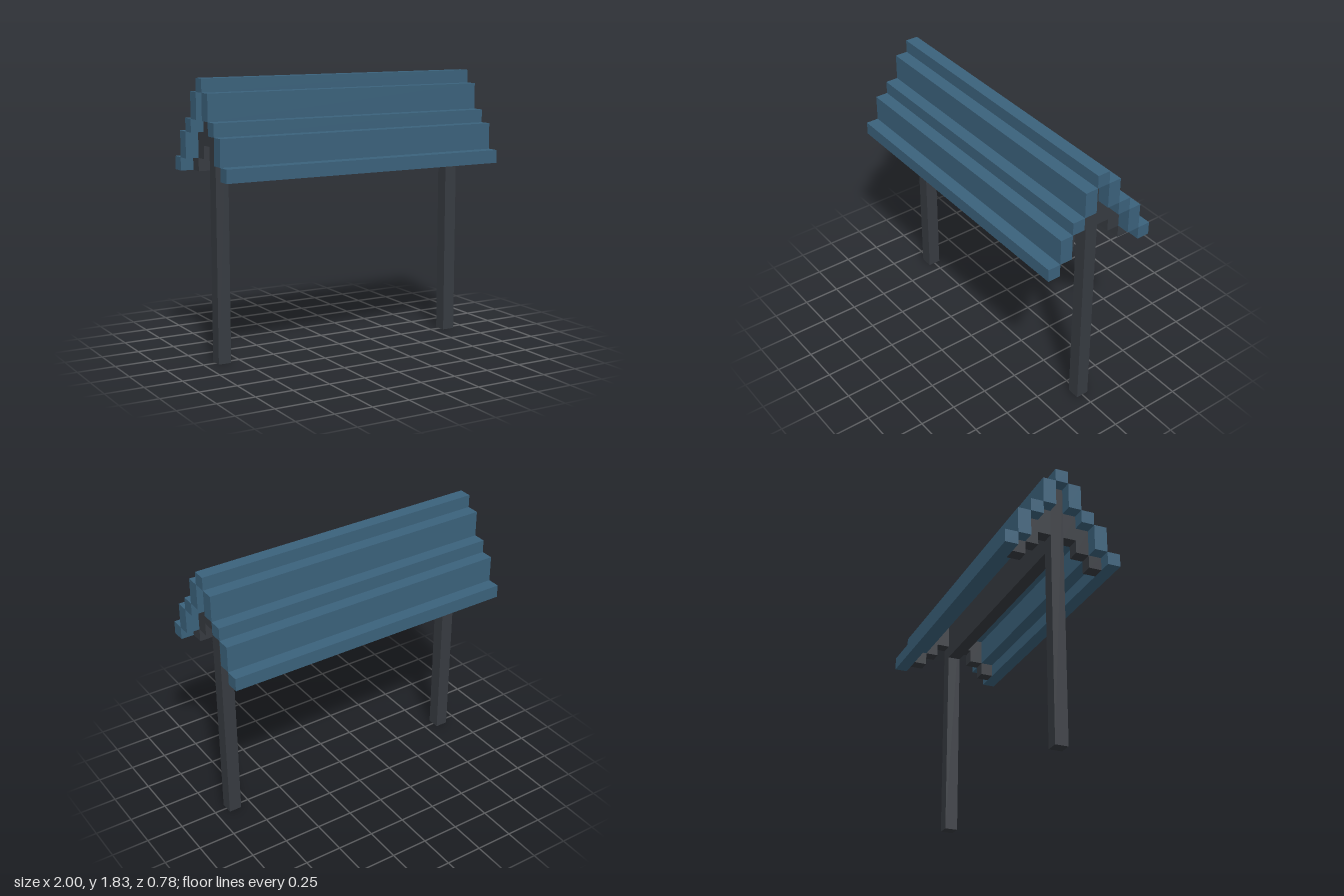
import * as THREE from 'three';

const U = 2 / 23; // one block

export function createModel() {
  const group = new THREE.Group();
  const blue = new THREE.MeshStandardMaterial({ color: 0x3b627c });
  blue.name = 'roof blue';
  const dark = new THREE.MeshStandardMaterial({ color: 0x373b41 });
  dark.name = 'frame charcoal';

  // Box in block units: centre x, centre z, length along x, bottom and top rows
  const block = (name, material, x, z, length, bottom, top, parent = group) => {
    const mesh = new THREE.Mesh(new THREE.BoxGeometry(length * U, (top - bottom) * U, U), material);
    mesh.position.set(x * U, ((bottom + top) / 2) * U, z * U);
    mesh.name = name;
    parent.add(mesh);
  };

  // Stepped roof: ridge plus four slats descending on each side
  const roof = new THREE.Group();
  roof.name = 'roof';
  group.add(roof);
  block('ridgeSlat', blue, 0, 0, 23, 20, 21, roof);
  const slats = [[18, 20], [17, 18], [15, 17], [14, 15]];
  for (const side of [-1, 1]) {
    slats.forEach(([bottom, top], i) => block('roofSlat', blue, 0, side * (i + 1), 23, bottom, top, roof));
  }

  // Posts with stepped braces under the roof
  const braces = [[16, 18], [15, 17], [14, 15]];
  for (const x of [-10, 10]) {
    const frame = new THREE.Group();
    frame.name = 'endFrame';
    group.add(frame);
    block('post', dark, x, 0, 1, 0, 20, frame);
    for (const side of [-1, 1]) {
      braces.forEach(([bottom, top], i) => block('brace', dark, x, side * (i + 1), 1, bottom, top, frame));
    }
  }

  // Deep beam joining the posts below the ridge
  block('ridgeBeam', dark, 0, 0, 19, 15, 20);
  return group;
}
